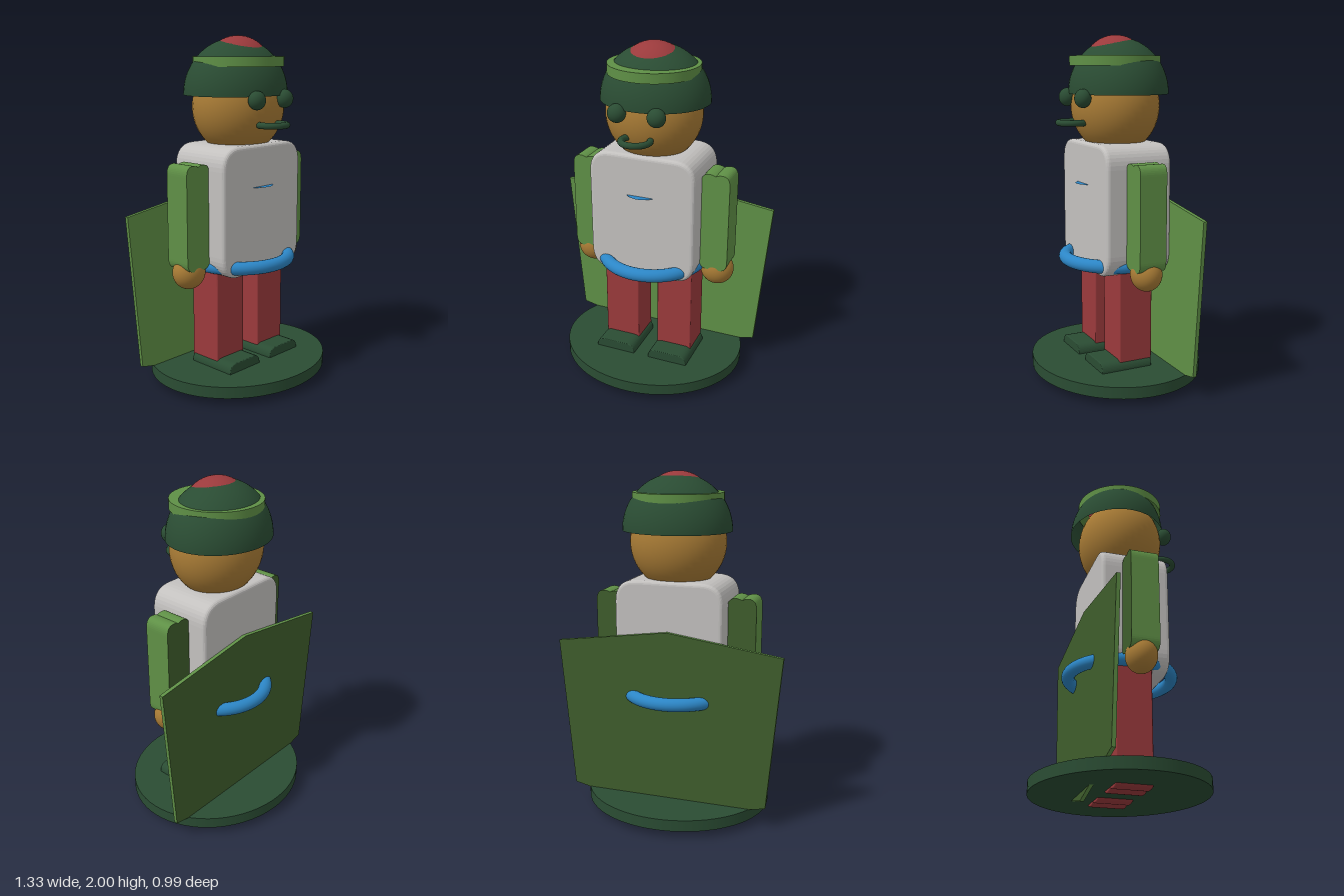
import * as THREE from 'three';

const mat = (name, color, side = THREE.FrontSide) => {
  const m = new THREE.MeshStandardMaterial({ color, side });
  m.name = name;
  return m;
};

// Rectangle outline with rounded corners, centred on the origin
function roundedRect(w, h, r) {
  const x = w / 2, y = h / 2, s = new THREE.Shape();
  s.moveTo(-x + r, -y);
  s.lineTo(x - r, -y);
  s.quadraticCurveTo(x, -y, x, -y + r);
  s.lineTo(x, y - r);
  s.quadraticCurveTo(x, y, x - r, y);
  s.lineTo(-x + r, y);
  s.quadraticCurveTo(-x, y, -x, y - r);
  s.lineTo(-x, -y + r);
  s.quadraticCurveTo(-x, -y, -x + r, -y);
  return s;
}

// Bar outline whose two ends each have a pair of soft bumps
function bumpyBar(w, h, r, notch) {
  const x = w / 2, y = h / 2, s = new THREE.Shape();
  s.moveTo(x, -y + r);
  s.lineTo(x, y - r);
  s.quadraticCurveTo(x, y, x * 0.45, y);
  s.quadraticCurveTo(x * 0.2, y, 0, y - notch);
  s.quadraticCurveTo(-x * 0.2, y, -x * 0.45, y);
  s.quadraticCurveTo(-x, y, -x, y - r);
  s.lineTo(-x, -y + r);
  s.quadraticCurveTo(-x, -y, -x * 0.45, -y);
  s.quadraticCurveTo(-x * 0.2, -y, 0, -y + notch);
  s.quadraticCurveTo(x * 0.2, -y, x * 0.45, -y);
  s.quadraticCurveTo(x, -y, x, -y + r);
  return s;
}

// Extrusion centred in z, with an optional bevel kept inside the outline
function slab(shape, depth, bevel = 0) {
  const g = new THREE.ExtrudeGeometry(shape, {
    depth: depth - 2 * bevel, curveSegments: 10, bevelEnabled: bevel > 0,
    bevelThickness: bevel, bevelSize: bevel, bevelOffset: -bevel, bevelSegments: 4,
  });
  return g.translate(0, 0, -depth / 2 + bevel);
}

// Plain slab whose rear face uses the second material
function twoToneSlab(shape, depth) {
  const g = slab(shape, depth);
  const rear = g.groups[0].count / 2;
  g.clearGroups();
  g.addGroup(0, rear, 1);
  g.addGroup(rear, g.attributes.position.count - rear, 0);
  return g;
}

export function createModel() {
  const root = new THREE.Group();
  root.name = 'figurine';
  const dark = mat('dark green', 0x2a4c33, THREE.DoubleSide);
  const green = mat('leaf green', 0x5f9046);
  const olive = mat('dark olive', 0x3f5e2c);
  const red = mat('brick red', 0x9b3a3c);
  const blue = mat('blue', 0x2c86c6, THREE.DoubleSide);
  const skin = mat('ochre', 0xa87b35);
  const grey = mat('light grey', 0xc3c1bf);

  const add = (name, geo, material, x = 0, y = 0, z = 0) => {
    const m = new THREE.Mesh(geo, material);
    m.name = name;
    m.position.set(x, y, z);
    root.add(m);
  };
  const ball = (rx, ry, rz) => new THREE.SphereGeometry(1, 40, 28).scale(rx, ry, rz);

  // Oval stand
  add('base', new THREE.CylinderGeometry(1, 1, 0.067, 64).scale(0.552, 1, 0.494), dark, 0, 0.0785, 0);

  // Flat cape
  const cape = new THREE.Shape([
    [0, 0.002], [0.59, 0.13], [0.667, 1.025], [0, 1.118], [-0.667, 1.025], [-0.59, 0.13],
  ].map(([x, y]) => new THREE.Vector2(x, y)));
  add('cape', twoToneSlab(cape, 0.022), [green, olive], 0, 0, -0.208);

  // Torso, belt and small chest trim
  add('torso', slab(roundedRect(0.638, 0.742, 0.13), 0.396, 0.022), grey, 0, 1.031, 0);
  add('belt', new THREE.TorusGeometry(0.295, 0.038, 20, 64).rotateX(Math.PI / 2), blue, 0, 0.72, 0);
  add('chestTrim', new THREE.CircleGeometry(0.1, 40).rotateX(-Math.PI / 2), blue, -0.005, 1.163, 0.14);

  // Paired limbs
  const shoe = new THREE.Shape();
  shoe.moveTo(-0.124, 0);
  shoe.lineTo(0.124, 0);
  shoe.lineTo(0.124, 0.025);
  shoe.quadraticCurveTo(0.118, 0.07, 0.07, 0.07);
  shoe.lineTo(-0.07, 0.07);
  shoe.quadraticCurveTo(-0.118, 0.07, -0.124, 0.025);
  for (const s of [1, -1]) {
    const side = s > 0 ? 'left' : 'right';
    add(side + 'Leg', slab(bumpyBar(0.217, 0.7, 0.03, 0.012), 0.204, 0.008), red, s * 0.17, 0.378, 0);
    add(side + 'Shoe', slab(shoe, 0.312, 0.006), dark, s * 0.169, 0.098, 0.062);
    add(side + 'Arm', twoToneSlab(bumpyBar(0.168, 0.59, 0.06, 0.01), 0.16), [green, olive], s * 0.397, 1.016, 0);
    add(side + 'Hand', ball(0.098, 0.097, 0.087), skin, s * 0.4, 0.7, 0);
    add(side + 'Eye', ball(0.052, 0.052, 0.046), dark, s * 0.115, 1.652, 0.25);
  }

  // Head with a ring-shaped mouth lying flat
  add('head', ball(0.279, 0.279, 0.25), skin, 0, 1.605, 0);
  add('mouth', new THREE.TorusGeometry(0.08, 0.018, 14, 40).rotateX(Math.PI / 2), dark, 0, 1.514, 0.263);

  // Hat: dome, band and crown button
  add('hatDome', new THREE.SphereGeometry(1, 48, 20, 0, Math.PI * 2, 0, Math.PI / 2)
    .scale(0.316, 0.316, 0.282), dark, 0, 1.671, -0.02);
  add('hatBand', new THREE.CylinderGeometry(0.26, 0.26, 0.055, 56), green, 0, 1.857, 0);
  add('hatButton', ball(0.205, 0.2, 0.19), red, 0, 1.8, -0.004);

  return root;
}
